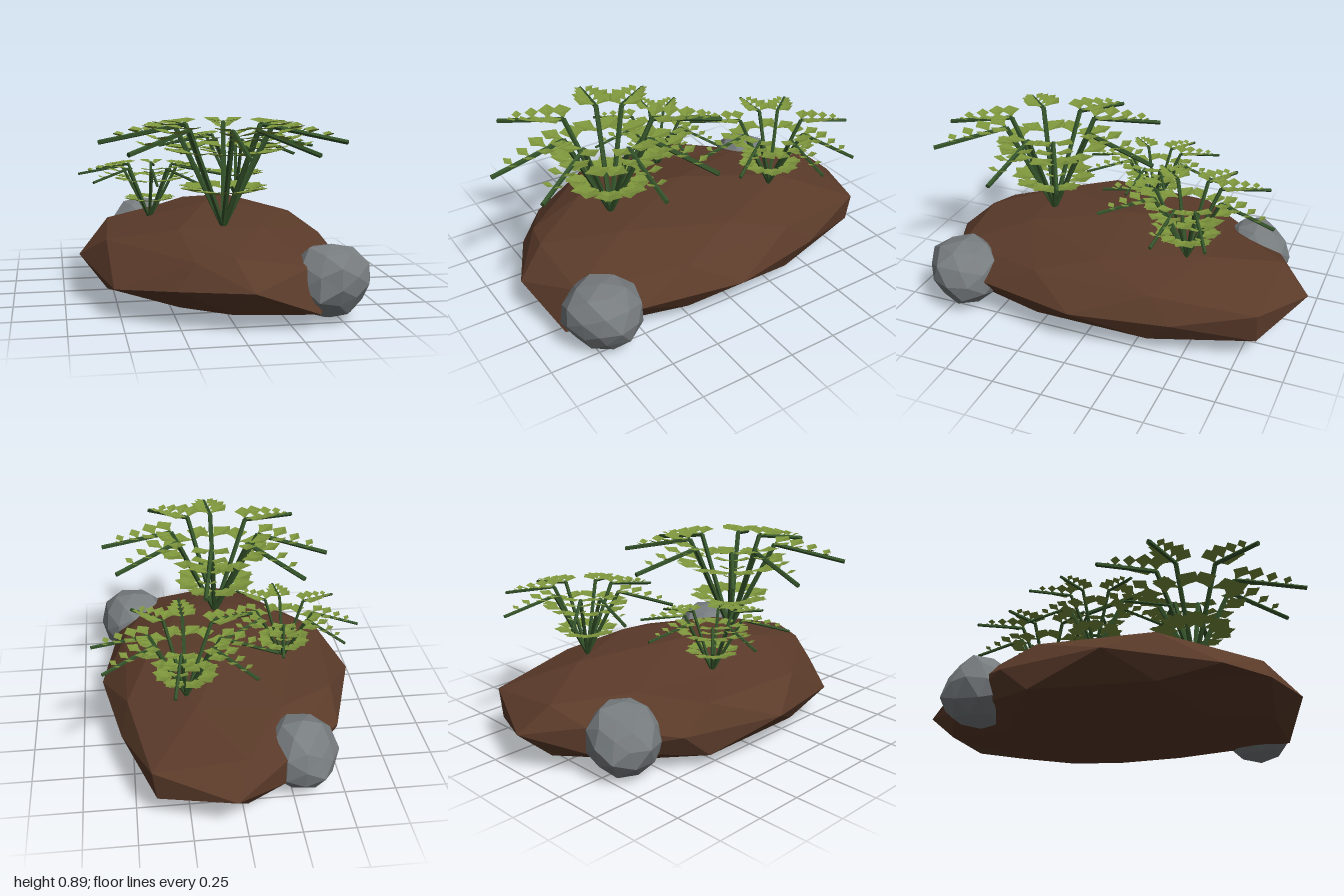
import * as THREE from 'three';
import { mergeGeometries } from 'three/addons/utils/BufferGeometryUtils.js';

const material = (name, color, extra = {}) =>
  Object.assign(new THREE.MeshStandardMaterial({ color, ...extra }), { name });

// Low-poly boulder: a subdivided icosahedron moved by a rule
function boulder(name, mat, rule) {
  const geo = new THREE.IcosahedronGeometry(1, 1);
  const pos = geo.attributes.position;
  const v = new THREE.Vector3();
  for (let i = 0; i < pos.count; i++) {
    v.fromBufferAttribute(pos, i);
    rule(v);
    pos.setXYZ(i, v.x, v.y, v.z);
  }
  geo.computeVertexNormals();
  const mesh = new THREE.Mesh(geo, mat);
  mesh.name = name;
  return mesh;
}

// Mound corners pushed out of the regular shape: [corner direction, offset]
const nudges = [
  [[-0.526, 0.851, 0], [0, -0.045, 0]],
  [[0.526, 0.851, 0], [0.07, -0.015, 0]],
  [[-0.526, -0.851, 0], [0.07, 0.005, 0]],
  [[-0.851, 0, 0.526], [0.04, -0.05, 0.09]],
  [[-0.851, 0, -0.526], [0.06, 0, 0.07]],
  [[0.851, 0, 0.526], [0, 0, 0.08]],
  [[0.851, 0, -0.526], [0.01, 0, 0.09]],
  [[1, 0, 0], [0, 0, 0.067]],
  [[-1, 0, 0], [0, 0, 0.067]],
  [[0, 0, 1], [0.065, 0, 0]],
  [[0, 0, -1], [0.065, 0, 0]],
  [[0.5, -0.309, 0.809], [0.05, -0.05, 0.11]],
  [[0.5, 0.309, 0.809], [0.03, 0, 0.03]],
  [[-0.5, -0.309, 0.809], [0.08, 0.06, 0.03]],
  [[-0.5, 0.309, 0.809], [0.16, 0.03, 0]],
  [[0.5, -0.309, -0.809], [0.09, 0, -0.02]],
  [[0.5, 0.309, -0.809], [0.11, 0, -0.025]],
  [[-0.5, -0.309, -0.809], [0.14, 0, 0.02]],
  [[-0.5, 0.309, -0.809], [0.14, -0.02, 0.02]],
  [[-0.809, 0.5, -0.309], [0.04, 0, 0.03]],
  [[-0.309, 0.809, -0.5], [0, -0.05, 0.02]],
  [[-0.309, -0.809, 0.5], [0, 0.025, 0.03]],
  [[0.309, -0.809, 0.5], [0, 0.025, 0.03]],
].map((pair) => pair.map((p) => new THREE.Vector3(...p)));

// Pointed leaf along +x, folded upward on both sides of its midrib
function leafGeometry() {
  const rim = [[0, 0, 0], [0.28, 0.04, 0.15], [0.55, 0.09, 0.42], [1, 0.09, 0]];
  const p = [];
  for (const side of [1, -1]) {
    for (let i = 0; i < rim.length - 1; i++) {
      const a = rim[i], b = rim[i + 1];
      const tri = [[a[0], a[1], a[2] * side], [b[0], b[1], b[2] * side], [0.5, 0, 0]];
      if (side < 0) tri.reverse();
      p.push(...tri.flat());
    }
  }
  const geo = new THREE.BufferGeometry();
  geo.setAttribute('position', new THREE.Float32BufferAttribute(p, 3));
  geo.computeVertexNormals();
  return geo;
}

function stalk(a, b, r) {
  const dir = b.clone().sub(a);
  const geo = new THREE.CylinderGeometry(r, r, dir.length(), 5).toNonIndexed();
  geo.computeVertexNormals();
  geo.applyQuaternion(new THREE.Quaternion().setFromUnitVectors(
    new THREE.Vector3(0, 1, 0), dir.clone().normalize()));
  const mid = a.clone().add(b).multiplyScalar(0.5);
  return geo.translate(mid.x, mid.y, mid.z);
}

// Fern: eight stems that rise, bend and droop outward, with paired leaves
function fernGeometries() {
  const stems = [], leaves = [];
  const leaf = leafGeometry();
  const root = new THREE.Vector3(0, 0, 0);
  const elbow = new THREE.Vector3(0.23, 0.48, 0);
  const tip = new THREE.Vector3(0.6, 0.4, 0);
  // [on outer part, position along it, leaf length, spread angle, upward tilt]
  const pairs = [
    [0, 0.36, 0.155, 0.8, 0.08],
    [0, 0.76, 0.15, 0.9, 0.04],
    [1, 0.0, 0.12, 0.95, 0.06],
    [1, 0.23, 0.11, 1.05, 0.15],
    [1, 0.47, 0.08, 1.05, 0.25],
    [1, 0.7, 0.06, 1.05, 0.3],
  ];
  for (const deg of [4, 57, 90, 143, 195, 227, 280, 332]) {
    const turn = -THREE.MathUtils.degToRad(deg);
    stems.push(stalk(root, elbow, 0.013).rotateY(turn));
    stems.push(stalk(elbow, tip, 0.012).rotateY(turn));
    for (const [outer, t, size, spread, tilt] of pairs) {
      const at = outer ? elbow.clone().lerp(tip, t) : root.clone().lerp(elbow, t);
      for (const side of [1, -1]) {
        leaves.push(leaf.clone().scale(size, size, size).rotateZ(tilt)
          .rotateY(side * spread)
          .translate(at.x, at.y + 0.004 * outer, at.z).rotateY(turn));
      }
    }
  }
  return [mergeGeometries(stems), mergeGeometries(leaves)];
}

export function createModel() {
  const model = new THREE.Group();
  model.name = 'fernMound';
  const soil = material('soil brown', 0x5b3b2a);
  const stone = material('stone grey', 0x787d80);
  const stemGreen = material('stem green', 0x34532a);
  const leafGreen = material('leaf green', 0x7d953c, { side: THREE.DoubleSide });

  // Earth mound, pointed at the back and flat underneath
  model.add(boulder('mound', soil, (v) => {
    const nudge = nudges.find(([corner]) => corner.distanceTo(v) < 0.05);
    const height = v.y > 0 ? 0.2 + v.y * 0.24 : 0.2 + v.y * 0.25;
    v.set(v.x * 0.655 - 0.015, Math.max(height, 0), v.z * 0.963 - 0.037);
    if (nudge) v.add(nudge[1]);
  }));

  // Rocks half sunk into the mound, each with one worn-down side
  const rocks = [
    ['frontRock', [0.45, 0.185, 0.7], [0.19, 0.178, 0.2], [0.5, -0.3, 0.81], 1],
    ['backRock', [-0.295, 0.19, -0.65], [0.182, 0.185, 0.185], [-0.6, 0.5, -0.62], 4],
  ];
  for (const [name, centre, radii, wornSide, seed] of rocks) {
    const worn = new THREE.Vector3(...wornSide);
    model.add(boulder(name, stone, (v) => {
      const k = 1 + 0.05 * Math.sin(v.x * 5 + seed) * Math.cos(v.z * 4 + v.y * 3 + seed)
        - 0.45 * Math.max(0, v.dot(worn) - 0.6);
      v.multiplyScalar(k).multiply(new THREE.Vector3(...radii)).add(new THREE.Vector3(...centre));
      v.y = Math.max(0.008, v.y);
    }));
  }

  // Three ferns of different widths and heights
  const [stemGeo, leafGeo] = fernGeometries();
  const ferns = [
    ['frontFern', 0.005, 0.39, 0.395, 1, 1],
    ['backFern', 0.23, 0.4, -0.425, 0.73, 0.7],
    ['sideFern', -0.3, 0.355, -0.065, 0.62, 0.57],
  ];
  for (const [name, x, y, z, width, height] of ferns) {
    const fern = new THREE.Group();
    fern.name = name;
    const stems = new THREE.Mesh(stemGeo, stemGreen);
    stems.name = 'stems';
    const leaves = new THREE.Mesh(leafGeo, leafGreen);
    leaves.name = 'leaves';
    fern.add(stems, leaves);
    fern.position.set(x, y, z);
    fern.scale.set(width, height, width);
    model.add(fern);
  }
  return model;
}
